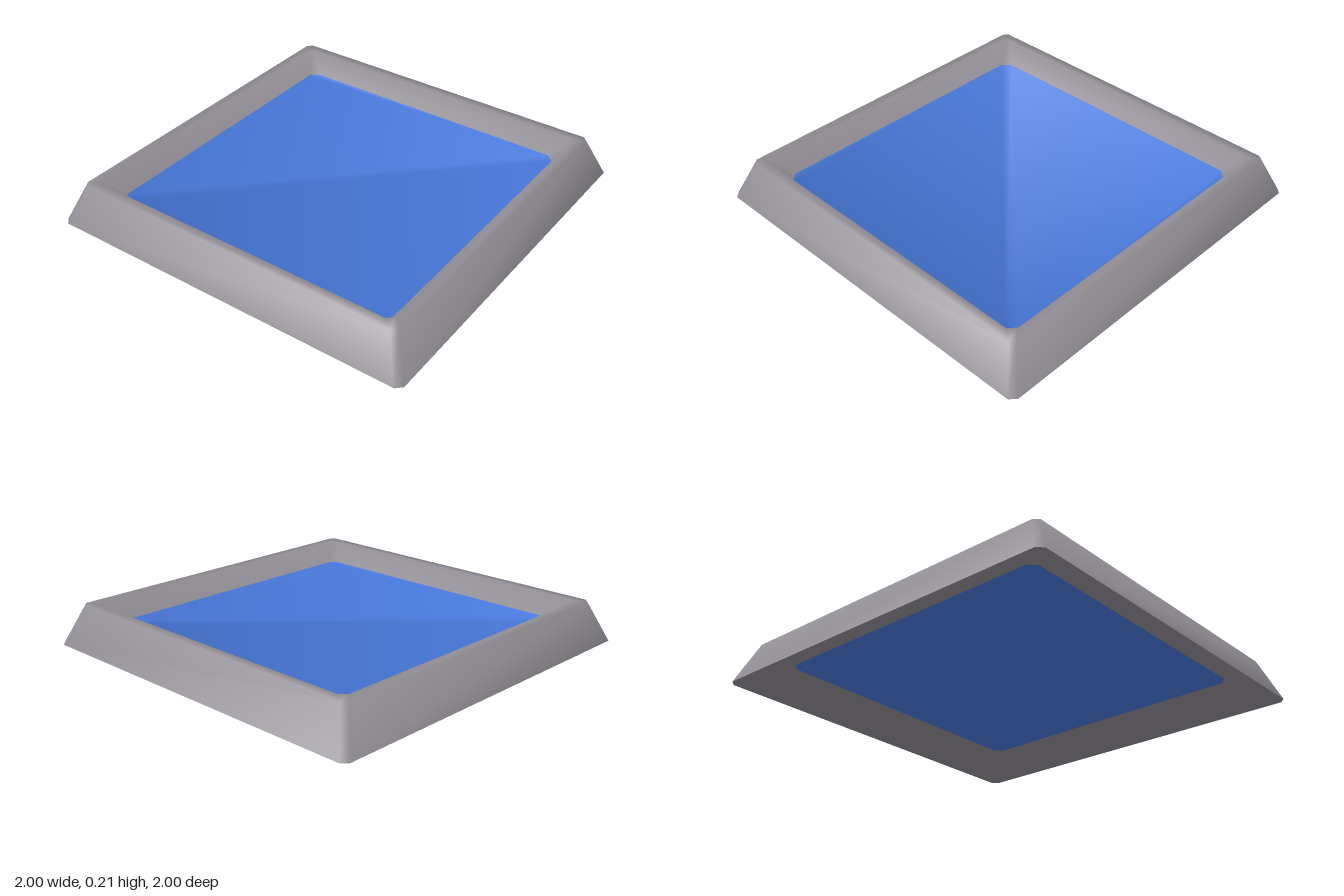
import * as THREE from 'three';

// Chamfered square rings [half width, height, corner cut], listed from the
// inner underside out to the base, up over the rim and down to the water.
const RINGS = [
  [0.79, 0.10, 0.04],   // 0 water underside
  [1.00, 0.00, 0.03],   // 1 base, underside edge
  [1.00, 0.00, 0.03],   // 2 base, outer edge (kept sharp)
  [0.91, 0.21, 0.025],  // 3 outer rim
  [0.86, 0.21, 0.03],   // 4 inner rim
  [0.79, 0.11, 0.04],   // 5 water surface
];
const CORNERS = [[1, 1], [1, -1], [-1, -1], [-1, 1]];

// Eight points per ring, counter-clockwise seen from above
function ringPoints([h, y, c]) {
  return CORNERS.flatMap(([sx, sz], k) => {
    const onZ = new THREE.Vector3(sx * (h - c), y, sz * h);
    const onX = new THREE.Vector3(sx * h, y, sz * (h - c));
    return k % 2 ? [onX, onZ] : [onZ, onX];
  });
}

// Band of quads between two rings
function band(a, b) {
  const index = [];
  for (let i = 0; i < 8; i++) {
    const j = (i + 1) % 8;
    index.push(a * 8 + i, a * 8 + j, b * 8 + j, a * 8 + i, b * 8 + j, b * 8 + i);
  }
  return index;
}

// Octagonal cap: a strip along one diagonal with a half on each side
function cap(ring, start, flip) {
  const index = [];
  for (const quad of [[0, 1, 4, 5], [1, 2, 3, 4], [5, 6, 7, 0]]) {
    const [a, b, c, d] = quad.map((q) => ring * 8 + ((q + start) % 8));
    if (flip) index.push(a, c, b, a, d, c);
    else index.push(a, b, c, a, c, d);
  }
  return index;
}

// Smooth normals weighted by each face's corner angle
function angleNormals(points, index) {
  const normals = points.map(() => new THREE.Vector3());
  for (let t = 0; t < index.length; t += 3) {
    for (let k = 0; k < 3; k++) {
      const p = points[index[t + k]];
      const u = points[index[t + (k + 1) % 3]].clone().sub(p);
      const v = points[index[t + (k + 2) % 3]].clone().sub(p);
      const n = u.clone().cross(v).normalize();
      normals[index[t + k]].addScaledVector(n, u.angleTo(v));
    }
  }
  return normals.map((n) => n.normalize());
}

export function createModel() {
  const stone = new THREE.MeshStandardMaterial({ color: 0x918d94 });
  stone.name = 'grey stone';
  const water = new THREE.MeshStandardMaterial({ color: 0x4778da });
  water.name = 'blue water';

  const points = RINGS.flatMap(ringPoints);
  const frameIndex = [[0, 1], [2, 3], [3, 4], [4, 5]].flatMap(([a, b]) => band(a, b));
  const surfaceIndex = cap(5, 2, false);
  const undersideIndex = cap(0, 0, true);
  const normals = angleNormals(points, [...frameIndex, ...surfaceIndex, ...undersideIndex]);

  // All parts share the points and blended normals
  const group = new THREE.Group();
  group.name = 'pool';
  const addPart = (name, index, material) => {
    const geometry = new THREE.BufferGeometry().setFromPoints(points);
    geometry.setAttribute('normal',
      new THREE.Float32BufferAttribute(normals.flatMap((n) => n.toArray()), 3));
    geometry.setIndex(index);
    const mesh = new THREE.Mesh(geometry, material);
    mesh.name = name;
    group.add(mesh);
  };
  addPart('frame', frameIndex, stone);
  addPart('waterSurface', surfaceIndex, water);
  addPart('waterUnderside', undersideIndex, water);
  return group;
}
